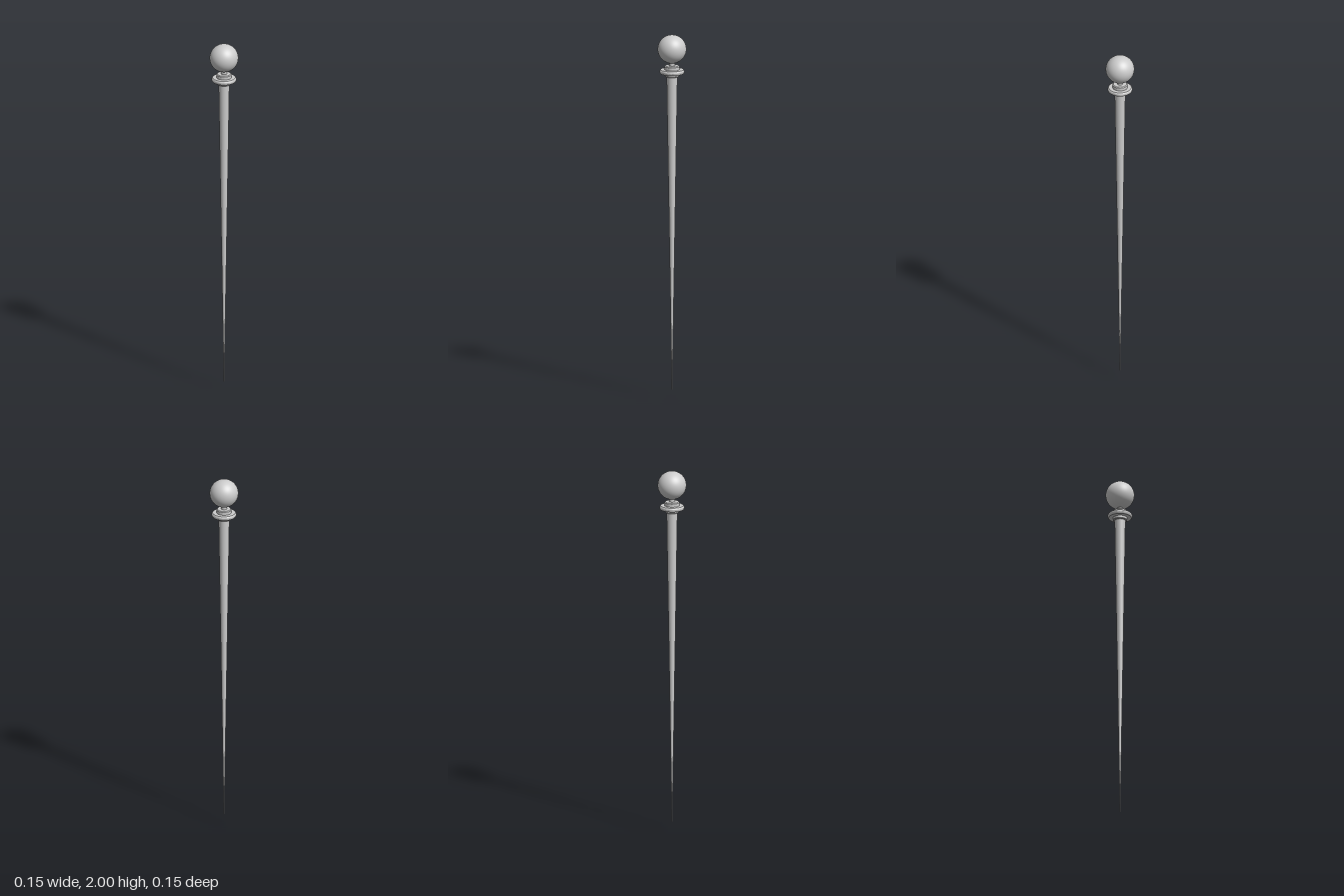
import * as THREE from 'three';
import { toCreasedNormals } from 'three/addons/utils/BufferGeometryUtils.js';

const material = new THREE.MeshStandardMaterial({ color: 0xcccccc });

function addPart(group, name, geometry) {
  const mesh = new THREE.Mesh(geometry, material);
  mesh.name = name;
  group.add(mesh);
  return mesh;
}

// Turned part from [radius, height] points, listed bottom to top
function turned(points, segments = 48) {
  const profile = points.map(([r, y]) => new THREE.Vector2(r, y));
  return toCreasedNormals(new THREE.LatheGeometry(profile, segments), 0.6);
}

export function createModel() {
  const group = new THREE.Group();
  group.name = 'pin';

  // Long shaft tapering to a needle point
  const shaft = new THREE.CylinderGeometry(0.029, 0.0005, 1.78, 32);
  addPart(group, 'shaft', shaft).position.y = 0.89;

  // Stepped collar with a wide, softly rounded flange
  addPart(group, 'collar', turned([
    [0, 1.772], [0.034, 1.772], [0.038, 1.776], [0.038, 1.789],
    [0.061, 1.789], [0.065, 1.793], [0.067, 1.8], [0.065, 1.807], [0.061, 1.811],
    [0.04, 1.811], [0.04, 1.828], [0.036, 1.832], [0, 1.832],
  ]));

  // Short neck under the ball
  const neck = new THREE.CylinderGeometry(0.015, 0.015, 0.04, 32);
  addPart(group, 'neck', neck).position.y = 1.84;

  // Ball head
  addPart(group, 'ballHead', new THREE.SphereGeometry(0.077, 48, 32)).position.y = 1.923;

  return group;
}
